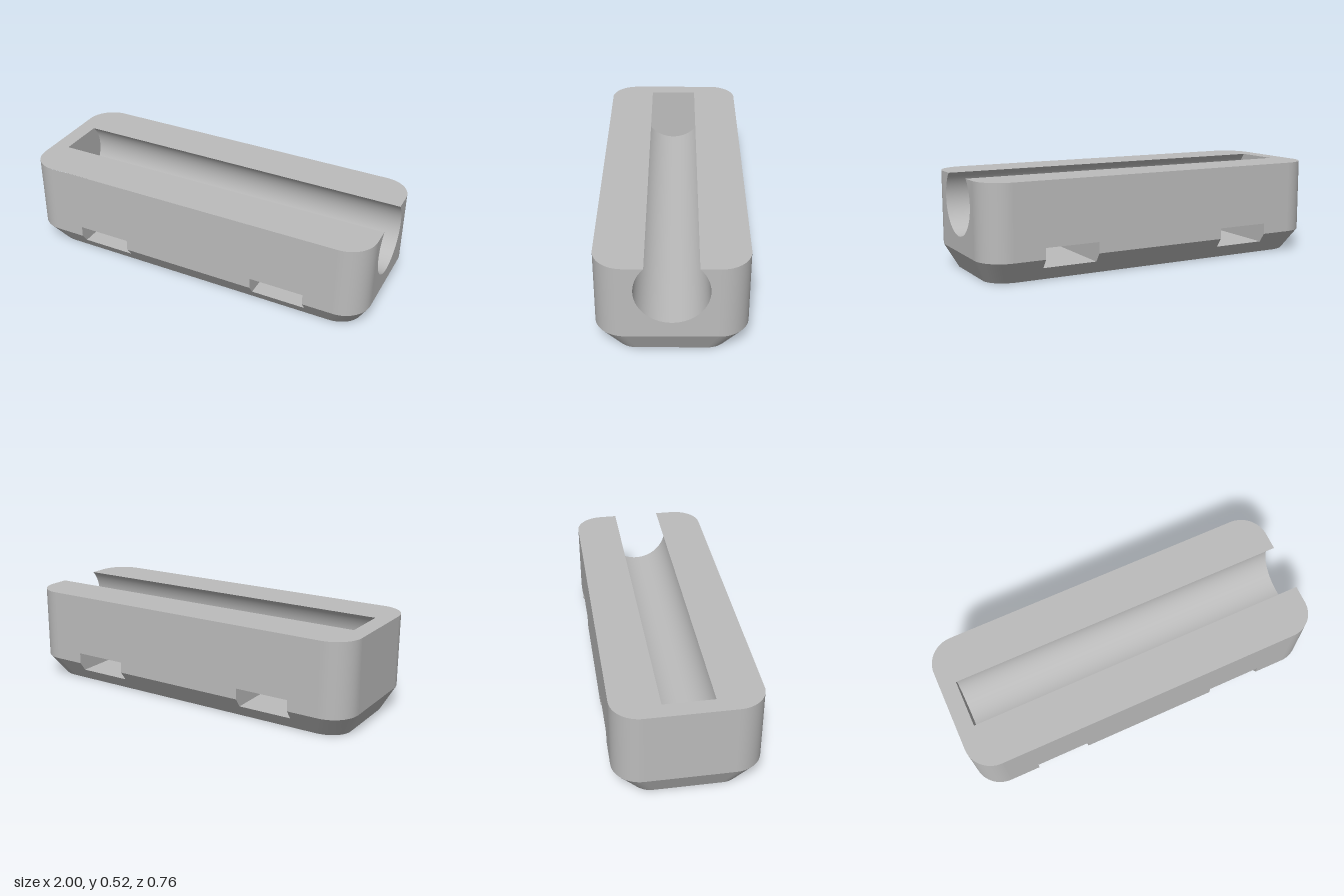
import * as THREE from 'three';

const HX = 1, HZ = 0.38, R = 0.15;            // half length, half depth, corner radius
const TOP = 0.52, WAIST = 0.12;               // top height, start of the tapered base
const SX = 0.94, SZ = 0.776;                  // base outline scale at y = 0
const BORE_R = 0.185, BORE_Y = 0.39, BORE_END = -0.91;
const SLOT_LOW = 0.07, SLOT_HIGH = 0.18;
const SLOTS = [[-0.68, -0.38], [0.38, 0.68]];
const IX = HX - R, IZ = HZ - R;               // ends of the straight edges

const V = (x, y, z) => new THREE.Vector3(x, y, z);
const turn = pts => pts.map(p => V(-p.x, p.y, -p.z));
const taperZ = y => HZ * (SZ + (1 - SZ) * y / WAIST);

// Flat polygon, corners counter-clockwise seen from its front
function face(pts) {
  const n = V(0, 0, 0);
  pts.forEach((p, i) => n.add(p.clone().cross(pts[(i + 1) % pts.length])));
  n.normalize();
  const u = Math.abs(n.y) > 0.9 ? V(1, 0, 0) : V(0, 1, 0).cross(n).normalize();
  const v = n.clone().cross(u);
  const flat = pts.map(p => new THREE.Vector2(p.dot(u), p.dot(v)));
  const g = new THREE.BufferGeometry().setFromPoints(pts);
  g.setIndex(THREE.ShapeUtils.triangulateShape(flat, []).flat());
  g.computeVertexNormals();
  return g;
}

// Smooth strip between two rows of points
function loft(a, b) {
  const n = a.length, index = [];
  for (let i = 0; i < n - 1; i++) index.push(i, i + 1, n + i + 1, i, n + i + 1, n + i);
  const g = new THREE.BufferGeometry().setFromPoints([...a, ...b]);
  g.setIndex(index);
  g.computeVertexNormals();
  return g;
}

// One rounded corner of the outline; k counts from front left round the back
function corner(k, y, sx = 1, sz = 1) {
  const cx = k < 2 ? IX : -IX, cz = k === 0 || k === 3 ? IZ : -IZ;
  return Array.from({ length: 17 }, (_, i) => {
    const a = (k + i / 16) * Math.PI / 2;
    return V((cx + R * Math.sin(a)) * sx, y, (cz + R * Math.cos(a)) * sz);
  });
}

// Open arc of the round channel, from +z under the axis to -z
function boreArc(x) {
  const a0 = Math.asin((TOP - BORE_Y) / BORE_R), n = 64;
  return Array.from({ length: n + 1 }, (_, i) => {
    const t = a0 - (Math.PI + 2 * a0) * i / n;
    return V(x, BORE_Y + BORE_R * Math.sin(t), BORE_R * Math.cos(t));
  });
}

export function createModel() {
  const model = new THREE.Group();
  model.name = 'channelBlock';
  const grey = new THREE.MeshStandardMaterial({ color: 0xbcbcbc });
  grey.name = 'light grey';
  const add = (name, geometry) => {
    const mesh = new THREE.Mesh(geometry, grey);
    mesh.name = name;
    model.add(mesh);
  };

  // Top, notched for the channel, and bottom
  const mouth = boreArc(HX), hw = mouth[0].z;
  add('topFace', face([
    ...corner(0, TOP),
    V(HX, TOP, hw), V(BORE_END, TOP, hw), V(BORE_END, TOP, -hw), V(HX, TOP, -hw),
    ...corner(1, TOP), ...corner(2, TOP), ...corner(3, TOP).slice(0, -1),
  ]));
  add('bottomFace', face([0, 1, 2, 3].flatMap(k => corner(k, 0, SX, SZ)).reverse()));

  // Rounded corners, upright above and tapered below
  for (let k = 0; k < 4; k++) {
    add('cornerWall', loft(corner(k, WAIST), corner(k, TOP)));
    add('cornerTaper', loft(corner(k, 0, SX, SZ), corner(k, WAIST)));
  }

  // Long walls and tapers with slot openings
  const wall = [
    V(-IX, WAIST, HZ),
    ...SLOTS.flatMap(([a, b]) => [
      V(a, WAIST, HZ), V(a, SLOT_HIGH, HZ), V(b, SLOT_HIGH, HZ), V(b, WAIST, HZ)]),
    V(IX, WAIST, HZ), V(IX, TOP, HZ), V(-IX, TOP, HZ),
  ];
  const zLow = taperZ(SLOT_LOW);
  const taper = [
    V(-IX * SX, 0, HZ * SZ), V(IX * SX, 0, HZ * SZ), V(IX, WAIST, HZ),
    ...[...SLOTS].reverse().flatMap(([a, b]) => [
      V(b, WAIST, HZ), V(b, SLOT_LOW, zLow), V(a, SLOT_LOW, zLow), V(a, WAIST, HZ)]),
    V(-IX, WAIST, HZ),
  ];
  add('frontWall', face(wall));
  add('backWall', face(turn(wall)));
  add('frontTaper', face(taper));
  add('backTaper', face(turn(taper)));

  // End walls: the left one is cut by the channel mouth
  const endLow = [V(HX, WAIST, IZ), V(HX, WAIST, -IZ)];
  const endTop = [V(HX, TOP, -IZ), V(HX, TOP, IZ)];
  add('leftEndWall', face([...endLow, endTop[0], ...[...mouth].reverse(), endTop[1]]));
  add('rightEndWall', face(turn([...endLow, ...endTop])));
  const endTaper = [V(HX * SX, 0, IZ * SZ), V(HX * SX, 0, -IZ * SZ), endLow[1], endLow[0]];
  add('leftEndTaper', face(endTaper));
  add('rightEndTaper', face(turn(endTaper)));

  // Round channel and its closed end
  add('channel', loft(mouth, boreArc(BORE_END)));
  add('channelEnd', face(boreArc(BORE_END)));

  // Strap slots running through from front to back
  for (const [a, b] of SLOTS) {
    const side = x => [
      V(x, SLOT_HIGH, HZ), V(x, WAIST, HZ), V(x, SLOT_LOW, zLow),
      V(x, SLOT_LOW, -zLow), V(x, WAIST, -HZ), V(x, SLOT_HIGH, -HZ)];
    add('slotSide', face(side(a)));
    add('slotSide', face(side(b).reverse()));
    add('slotFloor', face([
      V(a, SLOT_LOW, zLow), V(b, SLOT_LOW, zLow), V(b, SLOT_LOW, -zLow), V(a, SLOT_LOW, -zLow)]));
    add('slotCeiling', face([
      V(a, SLOT_HIGH, -HZ), V(b, SLOT_HIGH, -HZ), V(b, SLOT_HIGH, HZ), V(a, SLOT_HIGH, HZ)]));
  }
  return model;
}
